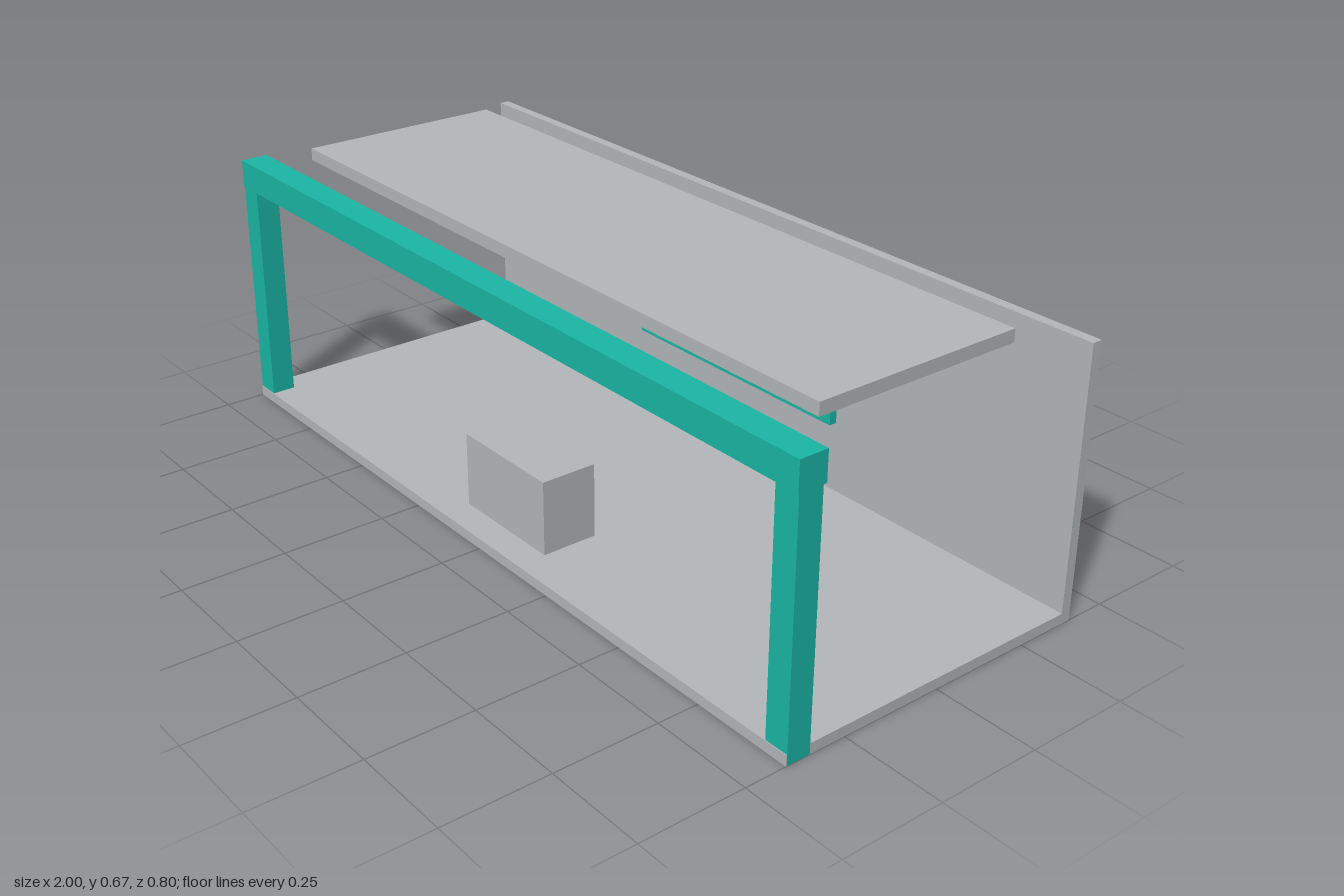
import * as THREE from 'three';

export function createModel() {
  const group = new THREE.Group();
  group.name = 'exhibitionBooth';

  const material = (name, color) => {
    const m = new THREE.MeshStandardMaterial({ color });
    m.name = name;
    return m;
  };
  const grey = material('panelGrey', 0xb5b9bc);
  const teal = material('accentTeal', 0x1ab8a6);
  const slate = material('darkSlate', 0x334155);

  // Box given by its lower and upper limits on each axis
  const box = (name, mat, [x0, x1], [y0, y1], [z0, z1]) => {
    const mesh = new THREE.Mesh(new THREE.BoxGeometry(x1 - x0, y1 - y0, z1 - z0), mat);
    mesh.position.set((x0 + x1) / 2, (y0 + y1) / 2, (z0 + z1) / 2);
    mesh.name = name;
    group.add(mesh);
  };

  // Floor slab, notched at the front corners so the posts run through it
  const outline = [
    [-1, -0.4], [1, -0.4], [1, -0.398], [0.94, -0.398], [0.94, -0.34], [1, -0.34],
    [1, 0.4], [-1, 0.4],
    [-1, -0.34], [-0.94, -0.34], [-0.94, -0.398], [-1, -0.398],
  ].map(([x, y]) => new THREE.Vector2(x, y));
  const floorGeometry = new THREE.ExtrudeGeometry(new THREE.Shape(outline), {
    depth: 0.025, bevelEnabled: false,
  });
  floorGeometry.rotateX(-Math.PI / 2);
  const floor = new THREE.Mesh(floorGeometry, grey);
  floor.name = 'floor';
  group.add(floor);

  // Back wall and floating canopy
  box('backWall', grey, [-1, 1], [0.025, 0.64], [-0.4, -0.375]);
  box('canopy', grey, [-0.9, 0.9], [0.638, 0.668], [-0.26, 0.26]);

  // Front frame: two posts under a slightly deeper header beam
  box('leftPost', teal, [0.94, 1], [0, 0.572], [0.34, 0.398]);
  box('rightPost', teal, [-1, -0.94], [0, 0.572], [0.34, 0.398]);
  box('headerBeam', teal, [-1, 1], [0.572, 0.64], [0.332, 0.4]);

  // Reception counter
  box('counter', grey, [-0.147, 0.147], [0.025, 0.205], [0.19, 0.328]);

  // Display panel with its dark backing plate
  box('displayPanel', teal, [-0.34, 0.34], [0.212, 0.531], [-0.355, -0.335]);
  box('displayBacking', slate, [-0.33, 0.33], [0.228, 0.514], [-0.365, -0.355]);

  return group;
}
